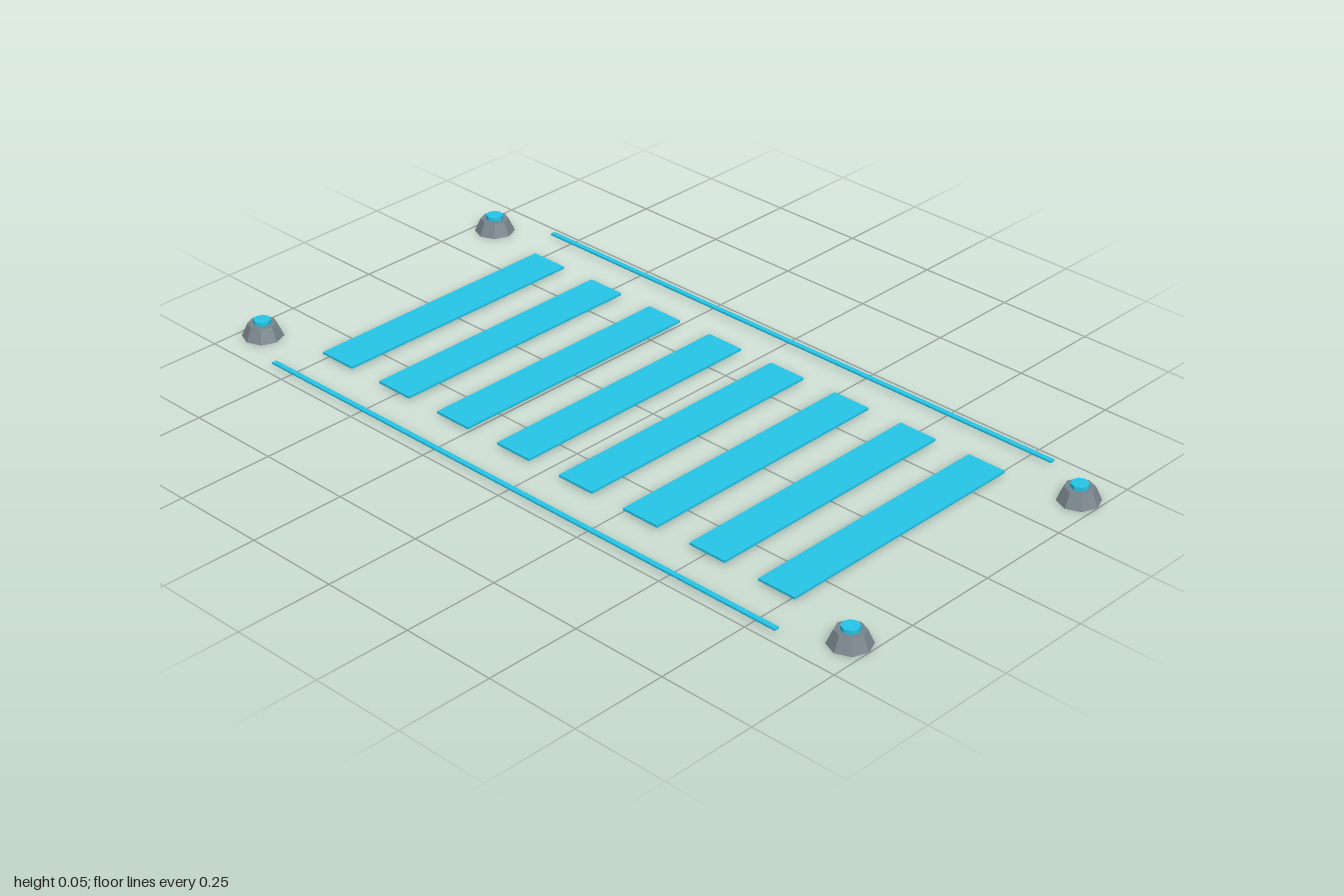
import * as THREE from 'three';

export function createModel() {
  const model = new THREE.Group();
  model.name = 'crosswalk';
  const cyan = new THREE.MeshStandardMaterial({ color: 0x26c6e8, flatShading: true });
  const steel = new THREE.MeshStandardMaterial({ color: 0x78858c, flatShading: true });

  const add = (parent, name, geometry, material, x, y, z) => {
    const mesh = new THREE.Mesh(geometry, material);
    mesh.name = name;
    mesh.position.set(x, y, z);
    parent.add(mesh);
    return mesh;
  };

  // Eight walking stripes across the road
  const stripe = new THREE.BoxGeometry(0.105, 0.006, 0.713);
  for (let i = 0; i < 8; i++) {
    add(model, 'stripe' + (i + 1), stripe, cyan, (i - 3.5) * 0.203, 0.009, 0);
  }

  // Thin border lines in front and behind
  const border = new THREE.BoxGeometry(1.625, 0.005, 0.013);
  add(model, 'frontBorder', border, cyan, 0, 0.0095, 0.468);
  add(model, 'backBorder', border, cyan, 0, 0.0095, -0.468);

  // Corner beacons: tapered foot with a small lamp on top
  const foot = new THREE.CylinderGeometry(0.036, 0.052, 0.035, 8);
  const lamp = new THREE.CylinderGeometry(0.022, 0.022, 0.014, 8);
  for (const sx of [-1, 1]) {
    for (const sz of [-1, 1]) {
      const beacon = new THREE.Group();
      beacon.name = (sz > 0 ? 'front' : 'back') + (sx > 0 ? 'Left' : 'Right') + 'Beacon';
      beacon.position.set(sx * 0.948, 0, sz * 0.39);
      add(beacon, 'foot', foot, steel, 0, 0.0175, 0);
      add(beacon, 'lamp', lamp, cyan, 0, 0.038, 0);
      model.add(beacon);
    }
  }
  return model;
}
